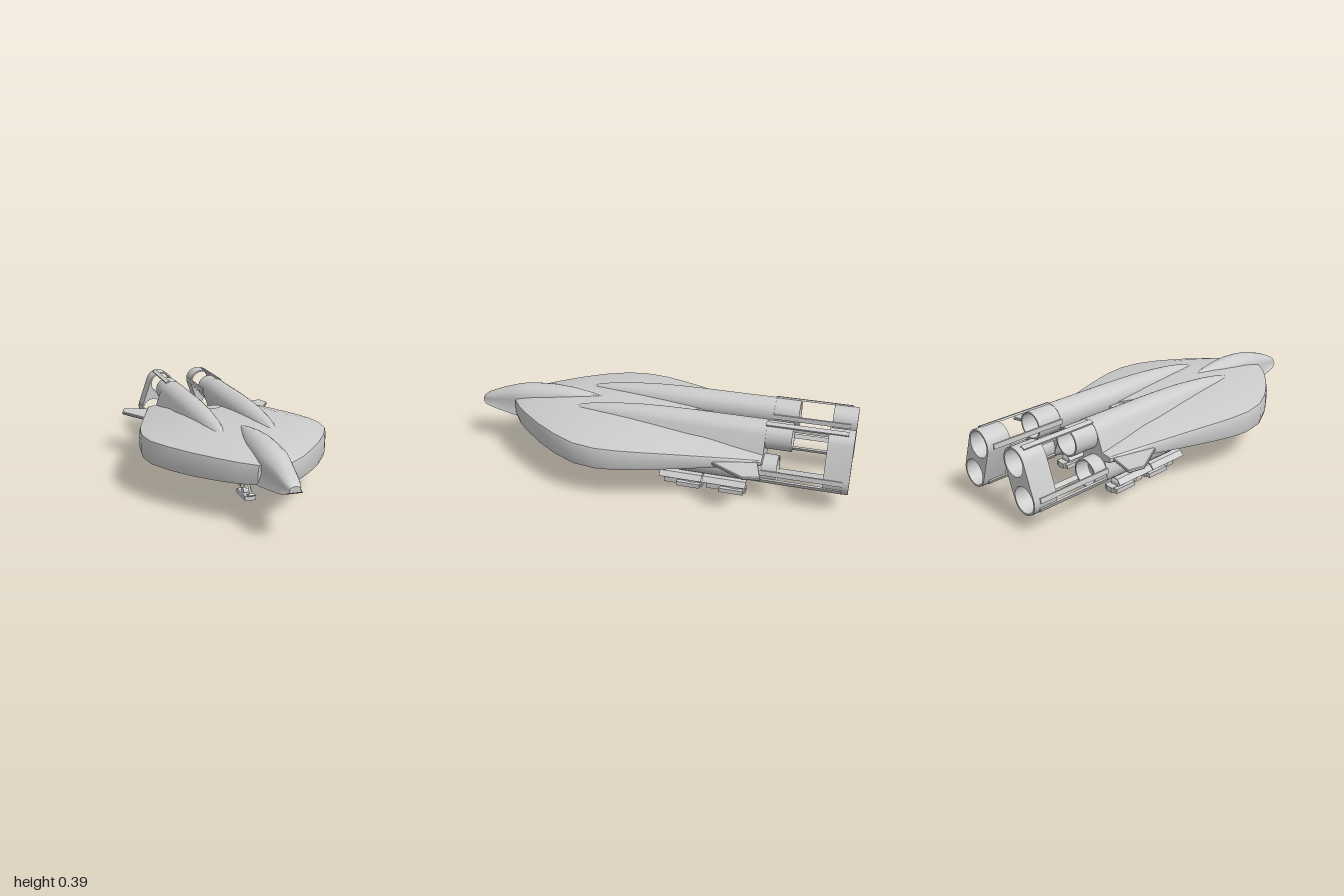
import * as THREE from 'three';
import { toCreasedNormals } from 'three/addons/utils/BufferGeometryUtils.js';

const grey = new THREE.MeshStandardMaterial({ color: 0xcccccc, side: THREE.DoubleSide });

function add(parent, name, geometry, x = 0, y = 0, z = 0, rx = 0, ry = 0, rz = 0) {
  const m = new THREE.Mesh(geometry, grey);
  m.name = name;
  m.position.set(x, y, z);
  m.rotation.set(rx, ry, rz);
  parent.add(m);
  return m;
}
const box = (w, h, d) => new THREE.BoxGeometry(w, h, d);

// Closed skin over sections { z, pts } running front to back, pts counter-clockwise from the front
function loft(sections, crease = 0.6) {
  const n = sections[0].pts.length, pos = [], idx = [];
  for (const s of sections) for (const [x, y] of s.pts) pos.push(x, y, s.z);
  for (let i = 0; i < sections.length - 1; i++) {
    for (let j = 0; j < n; j++) {
      const a = i * n + j, b = i * n + (j + 1) % n;
      idx.push(a, a + n, b, b, a + n, b + n);
    }
  }
  for (const end of [0, sections.length - 1]) {
    const { z, pts } = sections[end], c = pos.length / 3;
    pos.push(pts.reduce((t, p) => t + p[0], 0) / n, pts.reduce((t, p) => t + p[1], 0) / n, z);
    for (let j = 0; j < n; j++) {
      const a = end * n + j, b = end * n + (j + 1) % n;
      idx.push(c, ...(end ? [b, a] : [a, b]));
    }
  }
  const g = new THREE.BufferGeometry();
  g.setAttribute('position', new THREE.Float32BufferAttribute(pos, 3));
  g.setIndex(idx);
  return toCreasedNormals(g.toNonIndexed(), crease);
}

// Engine centres on the left side
const UP = [0.13, 0.313], LOW = [0.185, 0.157], R = 0.072;
const LEAN = Math.atan2(UP[1] - LOW[1], UP[0] - LOW[0]);

// Capsule outline around both engine centres
function capsule(r) {
  const pts = [];
  [[UP, LEAN - Math.PI / 2], [LOW, LEAN + Math.PI / 2]].forEach(([c, start]) => {
    for (let k = 0; k <= 14; k++) {
      const a = start + k * Math.PI / 14;
      pts.push([c[0] + r * Math.cos(a), c[1] + r * Math.sin(a)]);
    }
  });
  return pts;
}

// Hull half: z, half width, rim top, rim bottom, crown, keel
function hullHalf() {
  const rows = [
    [0.78, 0.08, 0.28, 0.192, 0.288, 0.188], [0.72, 0.155, 0.283, 0.186, 0.3, 0.172],
    [0.65, 0.22, 0.285, 0.182, 0.311, 0.16], [0.54, 0.31, 0.287, 0.178, 0.323, 0.145],
    [0.42, 0.39, 0.288, 0.176, 0.332, 0.132], [0.3, 0.448, 0.287, 0.175, 0.336, 0.124],
    [0.18, 0.466, 0.285, 0.175, 0.336, 0.12], [0.08, 0.457, 0.283, 0.178, 0.333, 0.12],
    [-0.02, 0.436, 0.279, 0.183, 0.327, 0.121], [-0.14, 0.404, 0.273, 0.189, 0.316, 0.126],
    [-0.3, 0.36, 0.263, 0.198, 0.295, 0.143], [-0.45, 0.318, 0.253, 0.207, 0.273, 0.172],
    [-0.59, 0.28, 0.243, 0.215, 0.252, 0.205]];
  return loft(rows.map(([z, w, rt, rb, top, bot]) => {
    const inner = z > -0.15 ? 0 : 0.12, at = f => inner + (w - inner) * f;
    const mix = (a, b, f) => a + (b - a) * f;
    return { z, pts: [
      [inner, bot], [at(0.35), bot + 0.002], [at(0.7), mix(bot, rb, 0.5)], [w - 0.006, rb],
      [w, mix(rb, rt, 0.2)], [w, mix(rb, rt, 0.8)], [w - 0.006, rt],
      [at(0.7), mix(top, rt, 0.46)], [at(0.35), top - 0.002], [inner, top]] };
  }), 0.45);
}

// Cockpit: z, half width, top, bottom, over a bell-shaped section
function cockpit() {
  const half = [[1, 0], [0.9, 0.14], [0.79, 0.36], [0.8, 0.55], [0.78, 0.7], [0.65, 0.84], [0.4, 0.95], [0.2, 0.99]];
  const shape = [...half, [0, 1], ...half.slice().reverse().map(([x, y]) => [-x, y])];
  const rows = [
    [1, 0.03, 0.252, 0.226], [0.98, 0.042, 0.268, 0.215], [0.94, 0.052, 0.286, 0.207],
    [0.88, 0.063, 0.31, 0.2], [0.8, 0.08, 0.336, 0.193], [0.76, 0.088, 0.345, 0.192],
    [0.68, 0.086, 0.356, 0.2], [0.58, 0.082, 0.362, 0.22], [0.48, 0.064, 0.358, 0.25],
    [0.39, 0.038, 0.348, 0.28], [0.3, 0.005, 0.334, 0.31]];
  return loft(rows.map(([z, w, t, b]) => ({ z, pts: shape.map(([x, y]) => [x * w, b + (t - b) * y]) })), 0.7);
}

// Open tube with wall thickness, along z from front to back
function nozzle(r, front, back) {
  const wall = [[r, -front], [r, -back], [r - 0.008, -back], [r - 0.012, -front - 0.02], [0.001, -front - 0.02]];
  const g = new THREE.LatheGeometry(wall.map(p => new THREE.Vector2(...p)), 28).rotateX(-Math.PI / 2);
  return toCreasedNormals(g.toNonIndexed(), 0.5);
}

// Rear hoop: capsule plate with two round openings
function hoop() {
  const s = new THREE.Shape(capsule(R).map(p => new THREE.Vector2(...p)));
  for (const c of [UP, LOW]) s.holes.push(new THREE.Path().absarc(c[0], c[1], R - 0.009, 0, Math.PI * 2, true));
  const g = new THREE.ExtrudeGeometry(s, { depth: 0.12, bevelEnabled: false, curveSegments: 14 });
  return toCreasedNormals(g.translate(0, 0, -1), 0.5);
}

function fin() {
  const s = new THREE.Shape([[0.25, 0.32], [0.345, 0.37], [0.435, 0.53], [0.415, 0.605], [0.26, 0.565]]
    .map(p => new THREE.Vector2(...p)));
  const g = new THREE.ExtrudeGeometry(s, { depth: 0.008, bevelEnabled: true, bevelThickness: 0.004, bevelSize: 0.003, bevelSegments: 1 });
  return g.rotateX(-Math.PI / 2).translate(0, 0.225, 0);
}

function mainGear(z) {
  const g = new THREE.Group();
  g.name = 'mainGear';
  g.position.set(0.18, 0, z);
  for (const x of [-0.03, 0.03]) add(g, 'sidePad', box(0.024, 0.022, 0.12), x, 0.011, -0.03);
  add(g, 'centrePad', box(0.04, 0.025, 0.2), 0, 0.0125, 0);
  for (const dz of [-0.045, 0.045]) {
    add(g, 'ankle', new THREE.CylinderGeometry(0.022, 0.022, 0.05, 12), 0, 0.032, dz, 0, 0, Math.PI / 2);
    add(g, 'strut', new THREE.CylinderGeometry(0.011, 0.011, 0.09, 10), 0, 0.07, dz * 0.8, -dz * 6);
  }
  return g;
}

// Everything that exists on both sides
function side() {
  const g = new THREE.Group();
  add(g, 'hull', hullHalf());
  add(g, 'fin', fin());
  const profile = [[0.43, 0.004], [0.41, 0.016], [0.37, 0.027], [0.31, 0.039], [0.24, 0.049], [0.15, 0.058],
    [0.05, 0.066], [-0.06, 0.07], [-0.2, R], [-0.59, R]];
  add(g, 'engineNacelle', loft(profile.map(([z, r]) => ({ z, pts: capsule(r) })), 0.5));
  add(g, 'upperNozzle', nozzle(0.07, -0.58, -0.715), UP[0], UP[1], 0);
  add(g, 'lowerNozzle', nozzle(0.07, -0.58, -0.66), LOW[0], LOW[1], 0);
  add(g, 'rearHoop', hoop());
  // Rods carrying the hoop
  const rods = [[UP, 1.2], [UP, 3.1], [LOW, 0.15], [LOW, -0.5], [LOW, 3.75]];
  for (const [c, a] of rods) {
    const x = c[0] + R * Math.cos(a), y = c[1] + R * Math.sin(a);
    add(g, 'hoopRod', box(0.01, 0.024, 0.385), x, y, -0.777, 0, 0, a);
  }
  // Landing gear and its bay doors
  g.add(mainGear(-0.19), mainGear(-0.41));
  add(g, 'gearBay', box(0.06, 0.03, 0.44), 0.18, 0.098, -0.3);
  for (const s of [-1, 1]) {
    for (const z of [-0.19, -0.41]) {
      add(g, 'bayDoor', box(0.034, 0.004, 0.215), 0.18 + s * 0.048, 0.093, z, 0, 0, -s * 0.2);
      add(g, 'bayDoorFlap', box(0.032, 0.004, 0.215), 0.18 + s * 0.074, 0.079, z, 0, 0, -s * 0.85);
    }
  }
  return g;
}

export function createModel() {
  const model = new THREE.Group();
  const left = side(), right = side();
  left.name = 'leftSide';
  right.name = 'rightSide';
  right.scale.x = -1;
  model.add(left, right);
  add(model, 'cockpit', cockpit());
  add(model, 'engineBridge', box(0.12, 0.17, 0.14), 0, 0.215, -0.208);
  add(model, 'boardingRamp', box(0.115, 0.12, 0.008), 0, 0.06, -0.2);

  // Nose landing gear
  const nose = new THREE.Group();
  nose.name = 'noseGear';
  for (const x of [-0.052, 0.052]) add(nose, 'noseBayDoor', box(0.004, 0.045, 0.21), x, 0.1, 0.357);
  add(nose, 'noseFoot', box(0.055, 0.022, 0.13), 0, 0.011, 0.39);
  add(nose, 'noseToe', box(0.03, 0.012, 0.04), 0, 0.027, 0.455, -0.5);
  add(nose, 'noseAnkle', new THREE.CylinderGeometry(0.018, 0.018, 0.04, 12), 0, 0.03, 0.39, 0, 0, Math.PI / 2);
  add(nose, 'noseStrut', new THREE.CylinderGeometry(0.012, 0.012, 0.1, 10), 0, 0.08, 0.385, -0.15);
  add(nose, 'noseBrace', new THREE.CylinderGeometry(0.006, 0.006, 0.105, 8), 0, 0.065, 0.425, -0.75);
  add(nose, 'noseCrossbar', box(0.105, 0.006, 0.01), 0, 0.08, 0.38);
  model.add(nose);
  return model;
}
